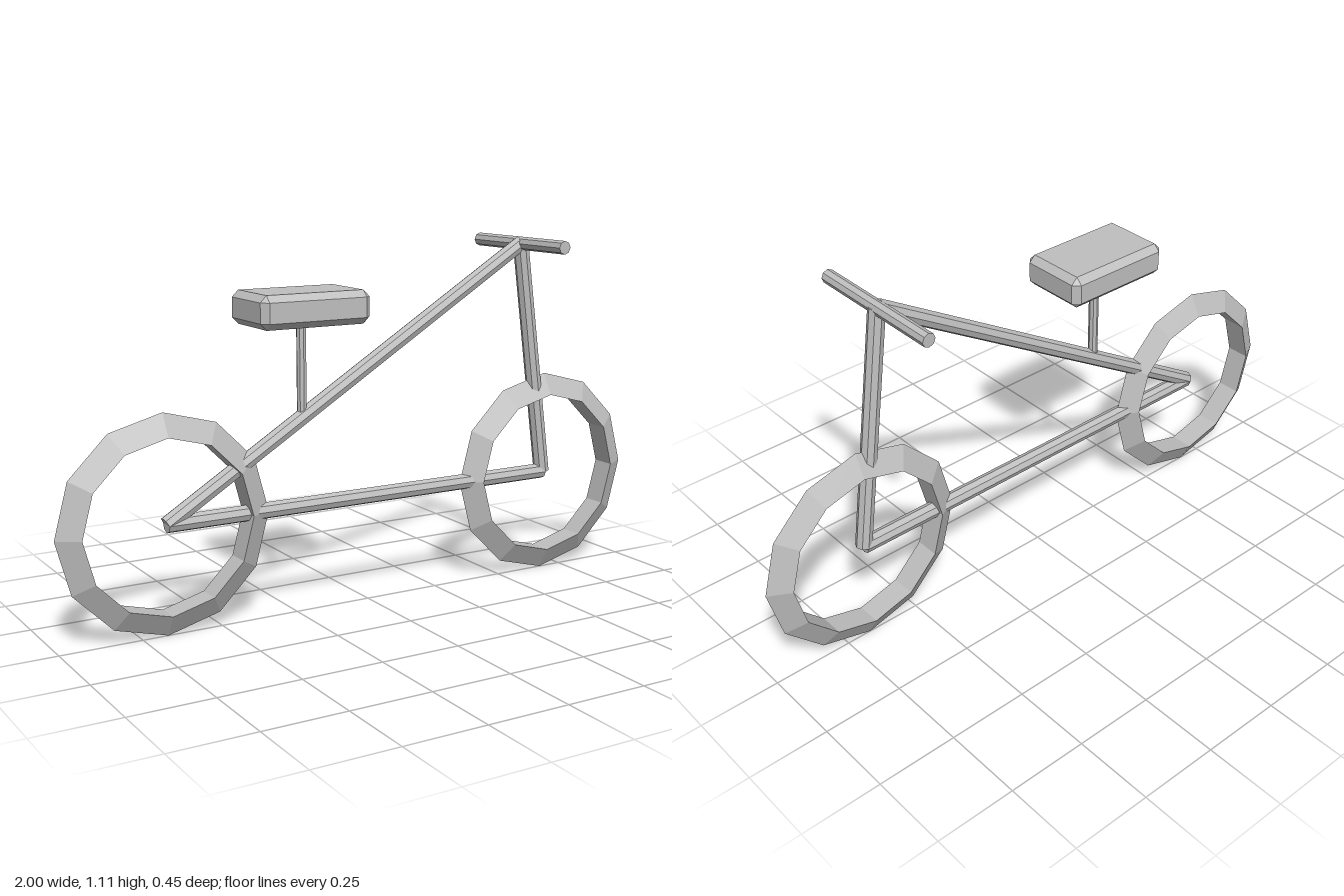
import * as THREE from 'three';
import { ConvexGeometry } from 'three/addons/geometries/ConvexGeometry.js';

const grey = new THREE.MeshStandardMaterial({ color: 0xbfbfbf, flatShading: true });
grey.name = 'light grey';

const v = (x, y, z = 0) => new THREE.Vector3(x, y, z);

function part(name, geometry) {
  const mesh = new THREE.Mesh(geometry, grey);
  mesh.name = name;
  return mesh;
}

// Eight-sided rod running from a to b
function rod(name, a, b, radius) {
  const dir = b.clone().sub(a);
  const mesh = part(name, new THREE.CylinderGeometry(radius, radius, dir.length(), 8));
  mesh.position.copy(a).add(b).multiplyScalar(0.5);
  mesh.quaternion.setFromUnitVectors(v(0, 1), dir.normalize());
  return mesh;
}

// Box with every edge cut at 45 degrees
function chamferedBox(w, h, d, c) {
  const points = [];
  for (const x of [-1, 1]) for (const y of [-1, 1]) for (const z of [-1, 1]) {
    for (let axis = 0; axis < 3; axis++) {
      const inset = [c, c, c];
      inset[axis] = 0;
      points.push(v(x * (w / 2 - inset[0]), y * (h / 2 - inset[1]), z * (d / 2 - inset[2])));
    }
  }
  return new ConvexGeometry(points);
}

export function createModel() {
  const bike = new THREE.Group();
  bike.name = 'bicycle';

  // Wheels: triangular rim section, pointed outwards
  const rim = new THREE.TorusGeometry(0.284, 0.045, 3, 12);
  for (const [name, x] of [['rearWheel', -0.671], ['frontWheel', 0.671]]) {
    const wheel = part(name, rim);
    wheel.position.set(x, 0.33, 0);
    bike.add(wheel);
  }

  // Frame
  const rearHub = v(-0.668, 0.332);
  const frontHub = v(0.668, 0.332);
  const head = v(0.565, 1.085);
  bike.add(
    rod('lowerBar', rearHub, frontHub, 0.025),
    rod('upperBar', rearHub, head, 0.025),
    rod('fork', frontHub, head, 0.025),
    rod('handlebar', v(0.565, 1.085, -0.225), v(0.565, 1.085, 0.225), 0.021),
    rod('seatPost', v(-0.228, 0.6), v(-0.228, 0.9), 0.015)
  );

  // Seat
  const seat = part('seat', chamferedBox(0.356, 0.1, 0.224, 0.02));
  seat.position.set(-0.228, 0.93, 0);
  bike.add(seat);

  return bike;
}
